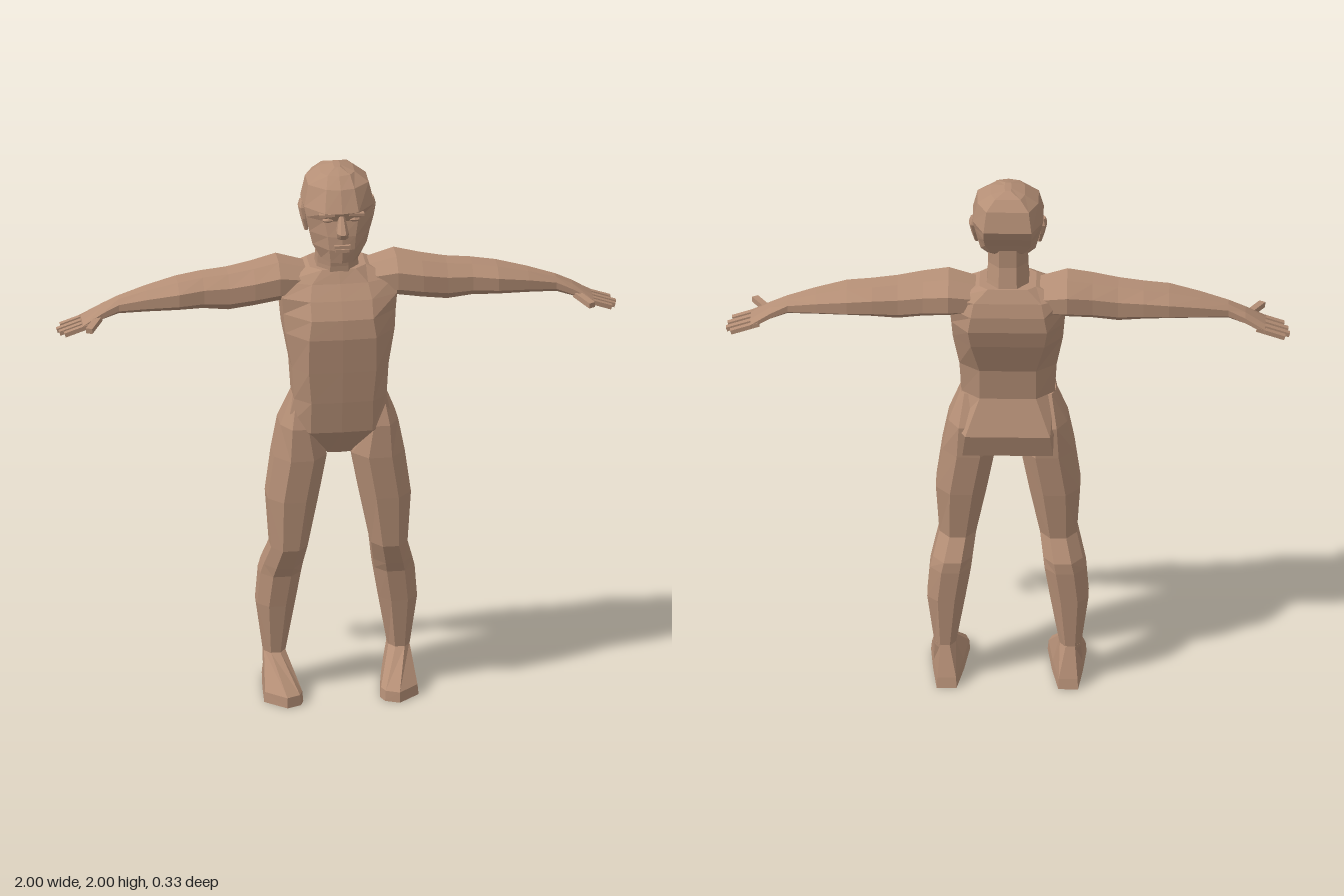
import * as THREE from 'three';

const skin = new THREE.MeshStandardMaterial({ color: 0xb58f76, flatShading: true });
skin.name = 'skin';

// Faceted skin over a list of point rings, closed at both ends
function loft(rings) {
  const pos = [];
  const tri = (a, b, c) => pos.push(...a, ...b, ...c);
  const n = rings[0].length;
  const middle = (r) => [0, 1, 2].map((k) => r.reduce((s, p) => s + p[k], 0) / n);
  const first = rings[0], last = rings[rings.length - 1];
  const c0 = middle(first), c1 = middle(last);
  for (let j = 0; j < n; j++) {
    const k = (j + 1) % n;
    for (let i = 0; i < rings.length - 1; i++) {
      const lo = rings[i], hi = rings[i + 1];
      tri(lo[j], lo[k], hi[k]);
      tri(lo[j], hi[k], hi[j]);
    }
    tri(c0, first[k], first[j]);
    tri(c1, last[j], last[k]);
  }
  return finish(pos);
}

function finish(pos) {
  const g = new THREE.BufferGeometry();
  g.setAttribute('position', new THREE.Float32BufferAttribute(pos, 3));
  g.computeVertexNormals();
  return g;
}

// Opposite-side copy across x = 0, keeping faces outward
function mirrored(geometry) {
  const p = (geometry.index ? geometry.toNonIndexed() : geometry).attributes.position;
  const out = [];
  for (let i = 0; i < p.count; i += 3)
    for (const k of [i, i + 2, i + 1]) out.push(-p.getX(k), p.getY(k), p.getZ(k));
  return finish(out);
}

// Chamfered rectangle with eight corners
function octagon(u0, u1, v0, v1, f = 0.28) {
  const a = u0 + (u1 - u0) * f, b = u1 - (u1 - u0) * f;
  const c = v0 + (v1 - v0) * f, d = v1 - (v1 - v0) * f;
  return [[a, v1], [b, v1], [u1, d], [u1, c], [b, v0], [a, v0], [u0, c], [u0, d]];
}

const levelRing = ([y, x0, x1, z0, z1]) => octagon(x0, x1, z0, z1).map(([x, z]) => [x, y, z]);
const armRing = ([x, y0, y1, z0, z1]) => octagon(z0, z1, y0, y1).map(([z, y]) => [x, y, z]);

// Symmetric body ring: front corner, two side corners, back corner; bulge moves the front centre
function bodyRing([y, xf, zf, xs, zs1, zs2, xb, zb, yb = y], bulge) {
  const ym = (y + yb) / 2;
  const half = [[xf, y, zf], [xs, y, zs1], [xs, ym, zs2], [xb, yb, zb]];
  const other = half.map(([x, py, z]) => [-x, py, z]).reverse();
  return [[0, y, zf + bulge], ...half, [0, yb, zb], ...other];
}

export function createModel() {
  const model = new THREE.Group();
  const add = (name, geometry) => {
    const mesh = new THREE.Mesh(geometry, skin);
    mesh.name = name;
    model.add(mesh);
  };
  const addPair = (name, geometry) => {
    add(name + 'Left', geometry);
    add(name + 'Right', mirrored(geometry));
  };
  const box = (w, h, d, x, y, z, rz = 0, ry = 0) =>
    new THREE.BoxGeometry(w, h, d).rotateZ(rz).rotateY(ry).translate(x, y, z);

  // Torso from crotch to collar
  add('torso', loft([
    [0.92, 0.04, 0.03, 0.05, 0, -0.03, 0.16, -0.11, 0.93],
    [1.03, 0.11, 0.11, 0.19, 0.05, -0.06, 0.15, -0.135, 1.02],
    [1.15, 0.11, 0.125, 0.165, 0.07, -0.03, 0.1, -0.085],
    [1.27, 0.12, 0.135, 0.172, 0.07, -0.04, 0.1, -0.095],
    [1.4, 0.12, 0.145, 0.195, 0.06, -0.07, 0.13, -0.145],
    [1.47, 0.11, 0.135, 0.2, 0.05, -0.09, 0.14, -0.165],
    [1.53, 0.11, 0.1, 0.205, 0.05, -0.1, 0.13, -0.165],
    [1.58, 0.1, 0.06, 0.2, 0.02, -0.11, 0.12, -0.15],
    [1.625, 0.06, 0.035, 0.1, 0, -0.1, 0.07, -0.125],
  ].map((r) => bodyRing(r, 0.004))));

  // Neck
  add('neck', loft([
    [1.58, -0.08, 0.08, -0.13, 0.04],
    [1.64, -0.073, 0.073, -0.115, 0.042],
    [1.7, -0.07, 0.07, -0.1, 0.05],
    [1.78, -0.07, 0.07, -0.1, 0.04],
  ].map(levelRing)));

  // Head from jaw to crown
  const crown = bodyRing([2, 0.01, -0.01, 0.012, -0.03, -0.05, 0.01, -0.07], 0);
  add('head', loft([...[
    [1.685, 0.04, 0.112, 0.068, 0.06, -0.02, 0.04, -0.075, 1.74],
    [1.735, 0.045, 0.118, 0.097, 0.05, -0.04, 0.06, -0.095, 1.76],
    [1.785, 0.05, 0.113, 0.108, 0.05, -0.05, 0.08, -0.115, 1.8],
    [1.84, 0.06, 0.098, 0.118, 0.05, -0.06, 0.085, -0.14],
    [1.875, 0.06, 0.115, 0.125, 0.04, -0.07, 0.085, -0.155],
    [1.95, 0.05, 0.075, 0.108, 0.02, -0.07, 0.075, -0.135],
    [1.985, 0.04, 0.03, 0.06, 0, -0.07, 0.045, -0.105],
  ].map((r) => bodyRing(r, 0.01)), crown]));

  // Face
  add('nose', loft([
    [1.785, -0.02, 0.02, 0.1, 0.145],
    [1.81, -0.021, 0.021, 0.1, 0.165],
    [1.865, -0.01, 0.01, 0.09, 0.122],
  ].map(levelRing)));
  add('upperLip', box(0.058, 0.012, 0.03, 0, 1.751, 0.119));
  add('lowerLip', box(0.05, 0.012, 0.03, 0, 1.736, 0.118));
  addPair('eye', new THREE.OctahedronGeometry(1, 1).scale(0.022, 0.011, 0.014).translate(0.047, 1.845, 0.099));
  addPair('brow', box(0.055, 0.01, 0.03, 0.052, 1.868, 0.104, -0.08, 0.1));
  addPair('ear', loft([
    [1.765, 0.104, 0.118, -0.025, -0.005],
    [1.81, 0.108, 0.13, -0.045, 0],
    [1.85, 0.112, 0.138, -0.058, -0.005],
    [1.872, 0.112, 0.132, -0.05, -0.02],
  ].map(levelRing)));

  // Arms with palm
  addPair('arm', loft([
    [0.1, 1.5, 1.615, -0.13, 0.03],
    [0.21, 1.5, 1.645, -0.15, 0.05],
    [0.3, 1.488, 1.627, -0.13, 0.05],
    [0.39, 1.475, 1.61, -0.12, 0.04],
    [0.48, 1.483, 1.6, -0.12, 0.033],
    [0.57, 1.483, 1.587, -0.115, 0.04],
    [0.68, 1.48, 1.56, -0.093, 0.02],
    [0.78, 1.475, 1.53, -0.07, 0],
    [0.84, 1.455, 1.5, -0.078, 0.006],
    [0.91, 1.425, 1.455, -0.09, 0.016],
  ].map(armRing)));

  // Fingers and thumb
  [[-0.08, 0.98], [-0.05, 0.996], [-0.02, 0.99], [0.009, 0.975]].forEach(([z, tip], i) => {
    const length = tip - 0.88;
    addPair('finger' + (i + 1), box(length * 1.04, 0.016, 0.018, 0.88 + length / 2, 1.448 - length * 0.17, z, -0.33));
  });
  addPair('thumb', box(0.1, 0.02, 0.024, 0.873, 1.46, 0.035, -0.1, -1.08));

  // Legs from hip to ankle
  addPair('leg', loft([
    [0.13, 0.185, 0.258, -0.11, 0],
    [0.33, 0.15, 0.285, -0.12, 0.02],
    [0.45, 0.13, 0.275, -0.125, 0.035],
    [0.49, 0.125, 0.265, -0.123, 0.055],
    [0.57, 0.113, 0.243, -0.077, 0.09],
    [0.76, 0.075, 0.255, -0.1, 0.1],
    [0.92, 0.045, 0.233, -0.11, 0.105],
    [1.04, 0.08, 0.21, -0.11, 0.1],
    [1.15, 0.12, 0.168, -0.05, 0.06],
  ].map(levelRing)));

  // Feet, toes turned slightly outward
  const sole = [[0.15, 0.145], [0.2, 0.168], [0.275, 0.1], [0.265, -0.03],
    [0.25, -0.165], [0.18, -0.165], [0.155, -0.03], [0.137, 0.11]];
  addPair('foot', loft([
    sole.map(([x, z]) => [x, 0, z]),
    sole.map(([x, z]) => [0.205 + (x - 0.205) * 0.95, 0.037, z < 0 ? z * 0.94 : z * 0.97]),
    levelRing([0.145, 0.184, 0.259, -0.112, 0.002]),
  ]));

  return model;
}
